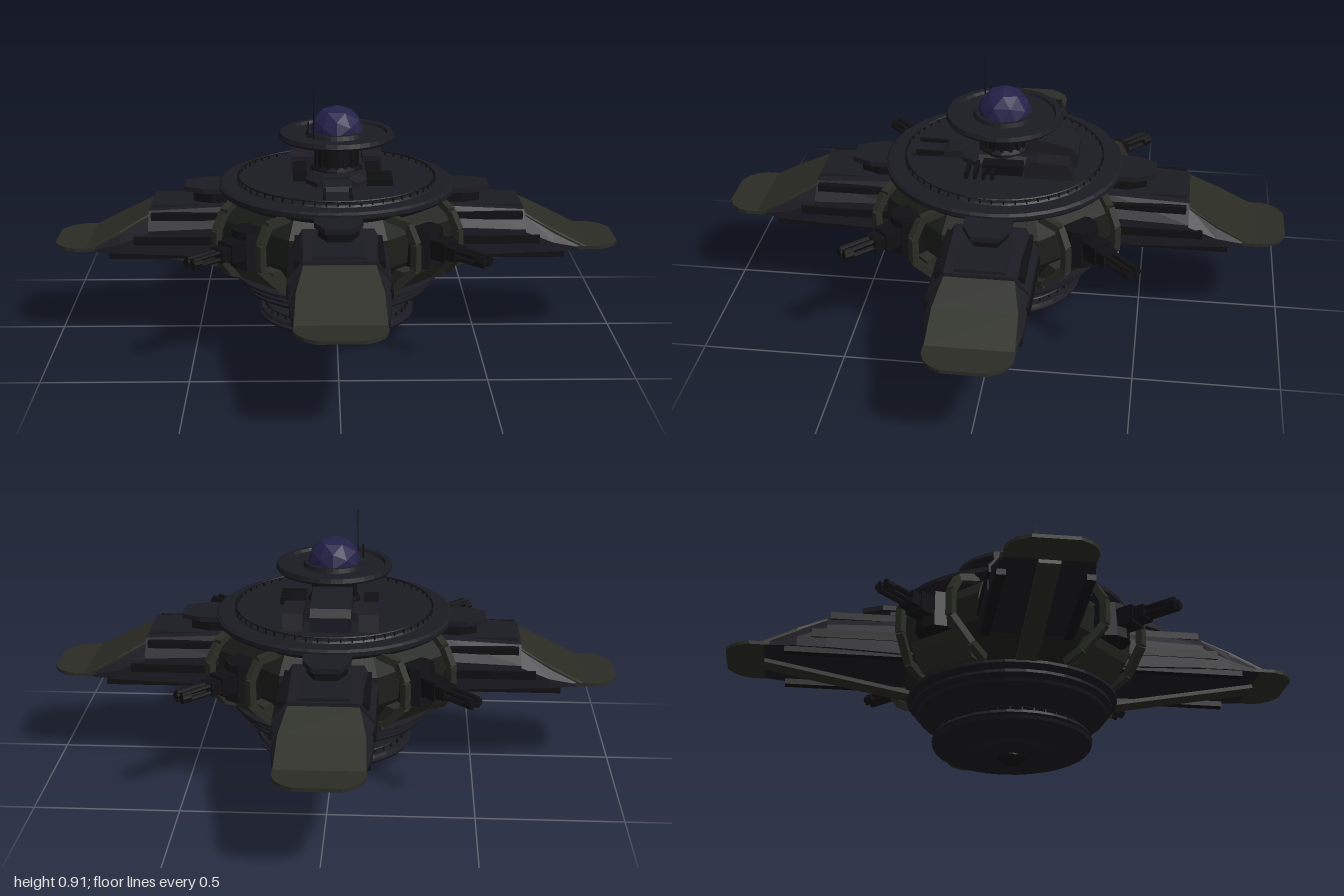
import * as THREE from 'three';
import { mergeGeometries } from 'three/addons/utils/BufferGeometryUtils.js';

const mat = (color) => new THREE.MeshStandardMaterial({ color, flatShading: true, side: THREE.DoubleSide });
const HULL = mat(0x1b1b22), DARK = mat(0x101013), GREEN = mat(0x2a2c24), OLIVE = mat(0x1d1f1a), BLUE = mat(0x232047);

const add = (parent, name, geometry, material, x = 0, y = 0, z = 0) => {
  const m = new THREE.Mesh(geometry, material);
  m.name = name;
  m.position.set(x, y, z);
  parent.add(m);
  return m;
};
const box = (w, h, d) => new THREE.BoxGeometry(w, h, d);
const lathe = (pts, n = 32, start = 0) =>
  new THREE.LatheGeometry(pts.map(([r, y]) => new THREE.Vector2(r, y)), n, start);

// Skin over closed loops that run counter-clockwise seen from +z and advance along +z
function loft(loops) {
  const n = loops[0].length, last = (loops.length - 1) * n, index = [];
  for (let i = 0; i < loops.length - 1; i++) {
    for (let j = 0; j < n; j++) {
      const a = i * n + j, b = i * n + (j + 1) % n;
      index.push(a, b, b + n, a, b + n, a + n);
    }
  }
  for (let j = 1; j < n - 1; j++) index.push(0, j + 1, j, last, last + j, last + j + 1);
  const g = new THREE.BufferGeometry();
  g.setAttribute('position', new THREE.Float32BufferAttribute(loops.flat(2), 3));
  g.setIndex(index);
  const flat = g.toNonIndexed();
  flat.computeVertexNormals();
  return flat;
}
// Six-cornered arm section: flat bottom, upright sides, sloping shoulders
const section = ([z, wb, wt, bottom, mid, top]) => [
  [-wb, bottom, z], [wb, bottom, z], [wb, mid, z], [wt, top, z], [-wt, top, z], [-wb, mid, z]];

// Flat plate in the xz plane, outlined by [x, z] points, rising from y = 0
function plate(pts, h) {
  const s = new THREE.Shape(pts.map(([x, z]) => new THREE.Vector2(x, -z)));
  return new THREE.ExtrudeGeometry(s, { depth: h, bevelEnabled: false }).rotateX(-Math.PI / 2);
}
// Block from a [z, y] side outline, w wide in x
function sideBlock(pts, w) {
  const s = new THREE.Shape(pts.map(([z, y]) => new THREE.Vector2(-z, y)));
  return new THREE.ExtrudeGeometry(s, { depth: w, bevelEnabled: false }).translate(0, 0, -w / 2).rotateY(Math.PI / 2);
}
// Square bar between two points
function bar(a, b, w, h) {
  const p = new THREE.Vector3(...a), q = new THREE.Vector3(...b);
  const m = new THREE.Matrix4().lookAt(q, p, new THREE.Vector3(0, 1, 0));
  m.setPosition(p.clone().add(q).multiplyScalar(0.5));
  return box(w, h, p.distanceTo(q)).applyMatrix4(m);
}
// Ring of small posts with a thin top rail
function railing(r, y, h, count) {
  const parts = [new THREE.TorusGeometry(r, 0.003, 4, 48).rotateX(Math.PI / 2).translate(0, y + h, 0)];
  for (let i = 0; i < count; i++) {
    parts.push(box(0.005, h, 0.005).translate(0, y + h / 2, r).rotateY(i / count * Math.PI * 2));
  }
  return mergeGeometries(parts);
}

function makeArm() {
  const arm = new THREE.Group();
  arm.name = 'arm';
  add(arm, 'armHull', loft([
    [0.2, 0.165, 0.12, 0.32, 0.43, 0.5], [0.4, 0.165, 0.12, 0.325, 0.43, 0.495],
    [0.66, 0.165, 0.115, 0.335, 0.42, 0.48], [0.66, 0.162, 0.115, 0.335, 0.41, 0.462],
    [0.76, 0.16, 0.135, 0.337, 0.37, 0.408], [0.87, 0.142, 0.135, 0.34, 0.344, 0.35]].map(section)), HULL);
  // Sloping panel that runs into the flat rounded tip
  add(arm, 'slopePanel', loft([
    [0.66, 0.118, 0.115, 0.455, 0.462, 0.468], [0.76, 0.14, 0.138, 0.4, 0.408, 0.414],
    [0.88, 0.145, 0.143, 0.34, 0.346, 0.352]].map(section)), GREEN);
  add(arm, 'tipPlate', plate([[-0.145, 0.8], [0.145, 0.8], [0.145, 0.92], [0.132, 0.955], [0.11, 0.98], [0.075, 1],
    [-0.075, 1], [-0.11, 0.98], [-0.132, 0.955], [-0.145, 0.92]], 0.012), GREEN, 0, 0.34);
  // Raised hatch with overhanging lid
  const hatch = [[-0.08, 0.3], [0.08, 0.3], [0.08, 0.47], [0.045, 0.54], [-0.045, 0.54], [-0.08, 0.47]];
  add(arm, 'hatchLid', plate(hatch, 0.018), HULL, 0, 0.53);
  add(arm, 'hatchBase', plate(hatch.map(([x, z]) => [x * 0.85, z * 0.94]), 0.06), DARK, 0, 0.475);
  add(arm, 'spine', box(0.17, 0.015, 0.26), HULL, 0, 0.485, 0.52);
  for (const s of [-1, 1]) {
    add(arm, 'shoulderRib', box(0.022, 0.025, 0.36), DARK, s * 0.135, 0.465, 0.47);
    add(arm, 'sideRail', box(0.012, 0.03, 0.42), DARK, s * 0.163, 0.385, 0.5);
    add(arm, 'bottomLip', box(0.03, 0.02, 0.5), DARK, s * 0.14, 0.326, 0.55);
  }
  // Slanting brace underneath
  add(arm, 'brace', bar([0, 0.23, 0.32], [0, 0.333, 0.87], 0.07, 0.014), GREEN);
  add(arm, 'sidePort', plate([[-0.15, 0.05], [-0.11, 0.09], [0.11, 0.09], [0.15, 0.05], [0.15, -0.02],
    [0.11, -0.06], [-0.11, -0.06], [-0.15, -0.02]], 0.02).rotateX(-Math.PI / 2), HULL, 0, 0.4, 0.42);
  return arm;
}

function makeTurret() {
  const turret = new THREE.Group();
  turret.name = 'turret';
  // Angular guard frames on both sides
  const path = [[0.37, 0.53], [0.44, 0.51], [0.475, 0.45], [0.475, 0.36], [0.4, 0.28], [0.33, 0.25]];
  for (const s of [-1, 1]) {
    const bars = path.slice(1).map(([z, y], i) => {
      const spread = (k) => s * (k > 0 && k < 4 ? 0.11 : 0.135);
      return bar([spread(i), path[i][1], path[i][0]], [spread(i + 1), y, z], 0.026, 0.026);
    });
    add(turret, 'guardFrame', mergeGeometries(bars), GREEN);
  }
  add(turret, 'lowerPanel', sideBlock([[0.36, 0.25], [0.41, 0.31], [0.425, 0.34], [0.38, 0.34], [0.32, 0.25]], 0.22), GREEN);
  add(turret, 'mount', new THREE.CylinderGeometry(0.06, 0.07, 0.13, 10), DARK, 0, 0.41, 0.42);
  add(turret, 'gunHousing', box(0.07, 0.065, 0.11), DARK, 0, 0.415, 0.48);
  add(turret, 'gunCollar', box(0.06, 0.045, 0.05), DARK, 0, 0.415, 0.55);
  for (const s of [-1, 1]) {
    const barrel = (r, len) => new THREE.CylinderGeometry(r, r, len, 8).rotateX(Math.PI / 2);
    for (const h of [-0.012, 0.012]) add(turret, 'barrel', barrel(0.009, 0.2), DARK, s * 0.014, 0.415 + h, 0.59);
    add(turret, 'muzzle', barrel(0.014, 0.035), DARK, s * 0.016, 0.415, 0.675);
  }
  return turret;
}

export function createModel() {
  const model = new THREE.Group();
  model.name = 'station';

  // Eight-sided core and round upper deck
  add(model, 'core', lathe([[0, 0.23], [0.32, 0.24], [0.4, 0.32], [0.43, 0.36], [0.43, 0.46], [0.39, 0.52], [0, 0.52]], 8, Math.PI / 8), OLIVE);
  add(model, 'upperDeck', lathe([[0, 0.505], [0.36, 0.505], [0.41, 0.53], [0.42, 0.54], [0.42, 0.555], [0.41, 0.562],
    [0.355, 0.562], [0.35, 0.568], [0, 0.568]], 40), HULL);
  add(model, 'deckRailing', railing(0.35, 0.562, 0.019, 56), DARK);

  // Stacked lower rings, neck and bottom disc
  add(model, 'lowerRings', lathe([[0, 0.125], [0.13, 0.13], [0.22, 0.15], [0.33, 0.175], [0.335, 0.185], [0.3, 0.19],
    [0.3, 0.197], [0.35, 0.2], [0.35, 0.21], [0.31, 0.214], [0.31, 0.222], [0.37, 0.226], [0.37, 0.236], [0.3, 0.25]]), HULL);
  add(model, 'neck', lathe([[0.14, 0.09], [0.12, 0.1], [0.12, 0.13], [0.14, 0.14]], 24), DARK);
  add(model, 'bottomDisc', lathe([[0, 0.035], [0.12, 0.036], [0.14, 0.05], [0.24, 0.056], [0.275, 0.064], [0.28, 0.075],
    [0.265, 0.08], [0.28, 0.085], [0.275, 0.096], [0.13, 0.1], [0, 0.1]]), HULL);
  add(model, 'bottomRailing', railing(0.26, 0.094, 0.016, 40), DARK);
  add(model, 'bottomNub', lathe([[0, 0], [0.02, 0.003], [0.045, 0.015], [0.05, 0.022], [0.03, 0.026], [0.03, 0.04]], 16), DARK);

  // Four arms with four turrets between them
  for (let i = 0; i < 4; i++) {
    const arm = makeArm(), turret = makeTurret();
    arm.rotation.y = i * Math.PI / 2;
    turret.rotation.y = (i + 0.5) * Math.PI / 2;
    model.add(arm, turret);
  }

  // Deck buildings
  const deck = new THREE.Group();
  deck.name = 'deckBuildings';
  add(deck, 'deckHouse', loft([[-0.16, 0.11], [0.08, 0.11], [0.14, 0.07]].map(([z, w]) =>
    section([z, w, w - 0.03, 0.56, 0.585, 0.605]))), HULL);
  add(deck, 'hangar', sideBlock([[-0.08, 0.56], [-0.08, 0.67], [-0.1, 0.672], [-0.24, 0.645], [-0.265, 0.62], [-0.265, 0.56]], 0.14), HULL);
  for (const s of [-1, 1]) {
    add(deck, 'sideBlock', sideBlock([[-0.09, 0.56], [-0.09, 0.62], [-0.13, 0.632], [-0.24, 0.625], [-0.26, 0.56]], 0.07), HULL, s * 0.13);
    add(deck, 'sideWing', box(0.05, 0.04, 0.14), DARK, s * 0.13, 0.585, -0.01);
    add(deck, 'walkwayEdge', box(0.01, 0.02, 0.1), DARK, s * 0.045, 0.58, 0.26);
  }
  add(deck, 'frontRamp', sideBlock([[0.1, 0.56], [0.1, 0.605], [0.2, 0.59], [0.24, 0.56]], 0.1), HULL);
  add(deck, 'frontHatch', box(0.1, 0.01, 0.13), HULL, 0, 0.572, 0.265);
  for (let i = 0; i < 4; i++) add(deck, 'ventFin', box(0.09, 0.03, 0.012), DARK, 0.15, 0.58, 0.02 + i * 0.03);
  model.add(deck);

  // Tower, dish platform, faceted dome and aerials
  add(model, 'tower', lathe([[0.1, 0.56], [0.09, 0.61], [0.075, 0.62], [0.075, 0.69], [0.11, 0.71]], 16), DARK);
  for (let i = 0; i < 8; i++) {
    add(model, 'towerRib', box(0.012, 0.08, 0.16), DARK, 0, 0.65, 0).rotation.y = i * Math.PI / 8;
  }
  add(model, 'platform', lathe([[0, 0.706], [0.17, 0.708], [0.2, 0.714], [0.205, 0.722], [0.2, 0.737], [0.18, 0.737],
    [0.175, 0.727], [0.11, 0.727], [0.105, 0.742], [0, 0.742]]), HULL);
  add(model, 'dome', new THREE.IcosahedronGeometry(0.096, 1), BLUE, 0, 0.735, 0);
  add(model, 'aerial', new THREE.CylinderGeometry(0.002, 0.003, 0.18, 6), DARK, -0.08, 0.815, 0.08);
  add(model, 'shortAerial', new THREE.CylinderGeometry(0.003, 0.003, 0.06, 6), DARK, -0.1, 0.755, 0.06);
  return model;
}
